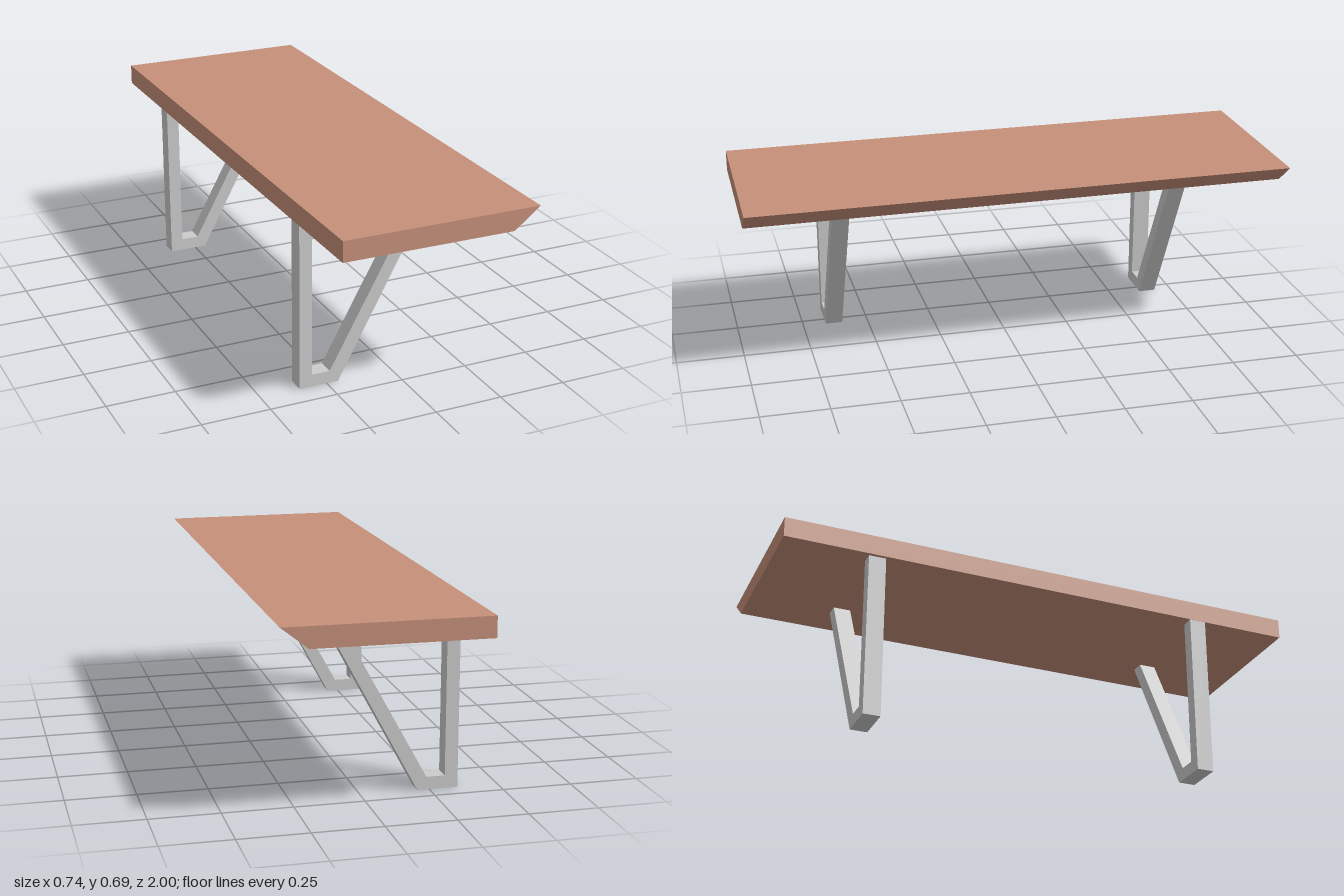
import * as THREE from 'three';

const polygon = (points) => new THREE.Shape(points.map(([x, y]) => new THREE.Vector2(x, y)));

export function createModel() {
  const group = new THREE.Group();
  const wood = new THREE.MeshStandardMaterial({ color: 0xc6907a, flatShading: true });
  const metal = new THREE.MeshStandardMaterial({ color: 0xcccccc, flatShading: true });

  // Slab with one long edge undercut, slightly skewed in plan
  const slab = new THREE.ExtrudeGeometry(
    polygon([[-0.36, 0.615], [0.264, 0.615], [0.359, 0.69], [-0.36, 0.69]]),
    { depth: 1.993, bevelEnabled: false }
  );
  slab.translate(0, 0, -0.9965);
  const skew = 0.0095;
  slab.applyMatrix4(new THREE.Matrix4().set(
    1, 0, skew, 0,
    0, 1, 0, 0,
    skew, 0, 1, 0,
    0, 0, 0, 1
  ));
  const top = new THREE.Mesh(slab, wood);
  top.name = 'tableTop';
  group.add(top);

  // Bent legs: upright post, short foot and slanted brace in one outline
  const legGeometry = new THREE.ExtrudeGeometry(
    polygon([
      [-0.353, 0], [-0.207, 0], [0.125, 0.615], [0.073, 0.615],
      [-0.239, 0.046], [-0.306, 0.046], [-0.306, 0.615], [-0.353, 0.615],
    ]),
    { depth: 0.064, bevelEnabled: false }
  );
  for (const [name, z] of [['frontLeg', 0.599], ['backLeg', -0.684]]) {
    const leg = new THREE.Mesh(legGeometry, metal);
    leg.name = name;
    leg.position.z = z;
    group.add(leg);
  }
  return group;
}
